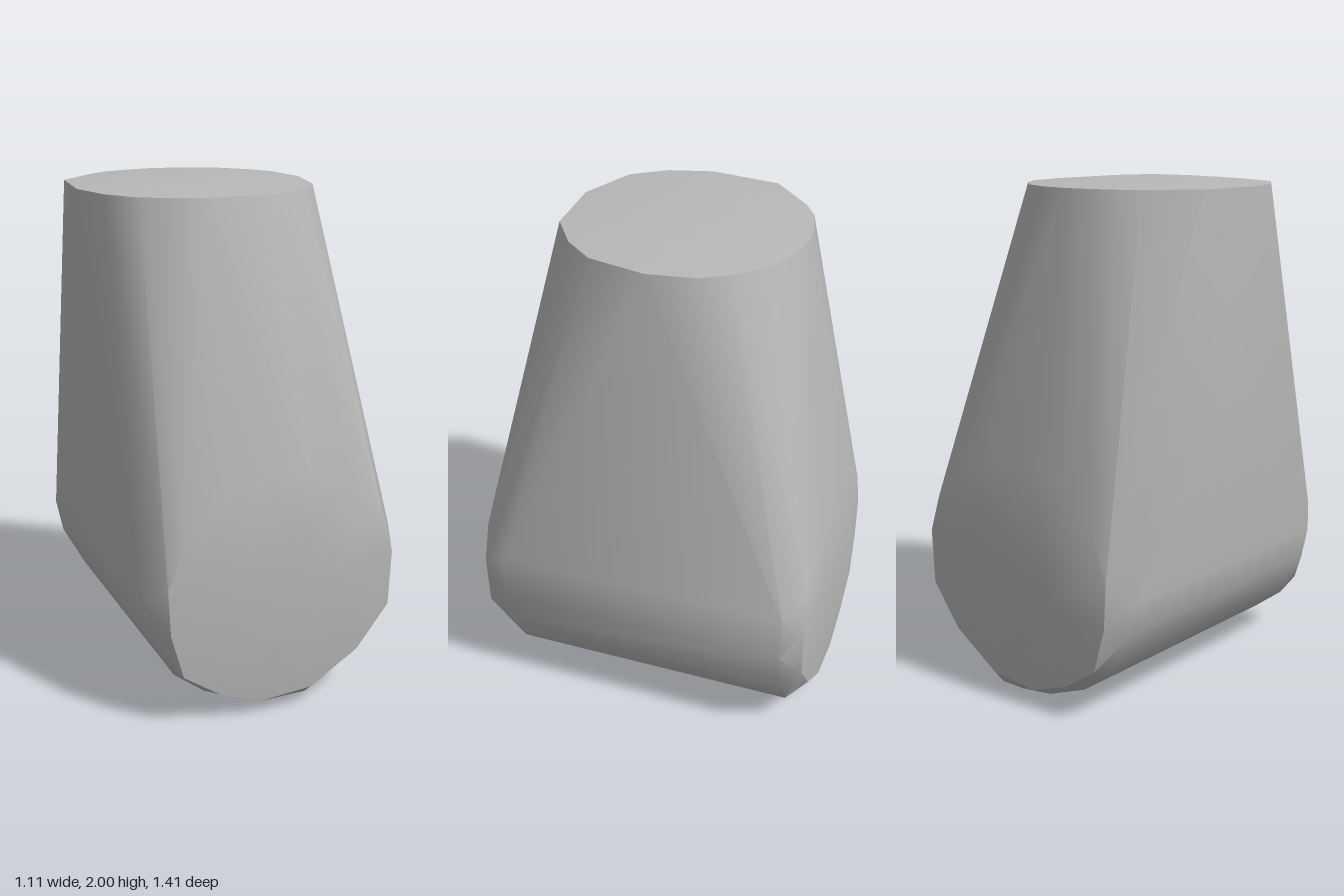
import * as THREE from 'three';
import { ConvexGeometry } from 'three/addons/geometries/ConvexGeometry.js';
import { toCreasedNormals } from 'three/addons/utils/BufferGeometryUtils.js';

export function createModel() {
  const group = new THREE.Group();
  group.name = 'hullBlock';
  const grey = new THREE.MeshStandardMaterial({ color: 0xb8b8b8 });
  grey.name = 'grey';

  const points = [];
  const add = (x, y, z) => points.push(new THREE.Vector3(x, y, z));

  // Round top cap (x, z), with a slight crown
  const top = [
    [-0.55, 0.05], [-0.5, 0.23], [-0.41, 0.36], [-0.19, 0.46], [0.09, 0.45], [0.24, 0.35],
    [0.34, 0.23], [0.39, 0], [0.36, -0.19], [0.3, -0.29], [0.19, -0.4], [0.06, -0.46],
    [-0.07, -0.48], [-0.17, -0.47], [-0.28, -0.44], [-0.36, -0.39], [-0.45, -0.3], [-0.52, -0.23],
  ];
  for (const [x, z] of top) {
    add(x, 1.98, z);
    add(-0.1 + (x + 0.1) * 0.45, 2, z * 0.45);
  }

  // Round end caps (x, y), slightly domed, at front and back
  const cap = [
    [-0.43, 0.58], [-0.42, 0.4], [-0.37, 0.22], [-0.22, 0.12], [-0.05, 0.06], [0.16, 0.08],
    [0.36, 0.21], [0.49, 0.38], [0.5, 0.6], [0.45, 0.75], [0.32, 0.88], [0.15, 0.95],
    [-0.05, 0.95], [-0.22, 0.89], [-0.36, 0.76],
  ];
  for (const side of [1, -1]) {
    for (const [x, y] of cap) {
      add(x, y, side * 0.68);
      add(0.03 + (x - 0.03) * 0.5, 0.52 + (y - 0.52) * 0.5, side * 0.705);
    }
  }

  // Barrel outline (x, y) that the end caps bevel into
  const barrel = [
    [-0.5, 0.5], [-0.47, 0.36], [-0.37, 0.18], [-0.25, 0.09], [-0.07, 0.02], [0.08, 0],
    [0.19, 0], [0.41, 0.14], [0.52, 0.33], [0.55, 0.48], [0.54, 0.67],
  ];
  for (const [x, y] of barrel) {
    add(x, y, 0.57);
    add(x, y, -0.6);
  }

  // Gentle swell on the right flank
  add(-0.56, 1.35, -0.1);

  const geometry = toCreasedNormals(new ConvexGeometry(points), 0.6);
  const body = new THREE.Mesh(geometry, grey);
  body.name = 'body';
  group.add(body);
  return group;
}
